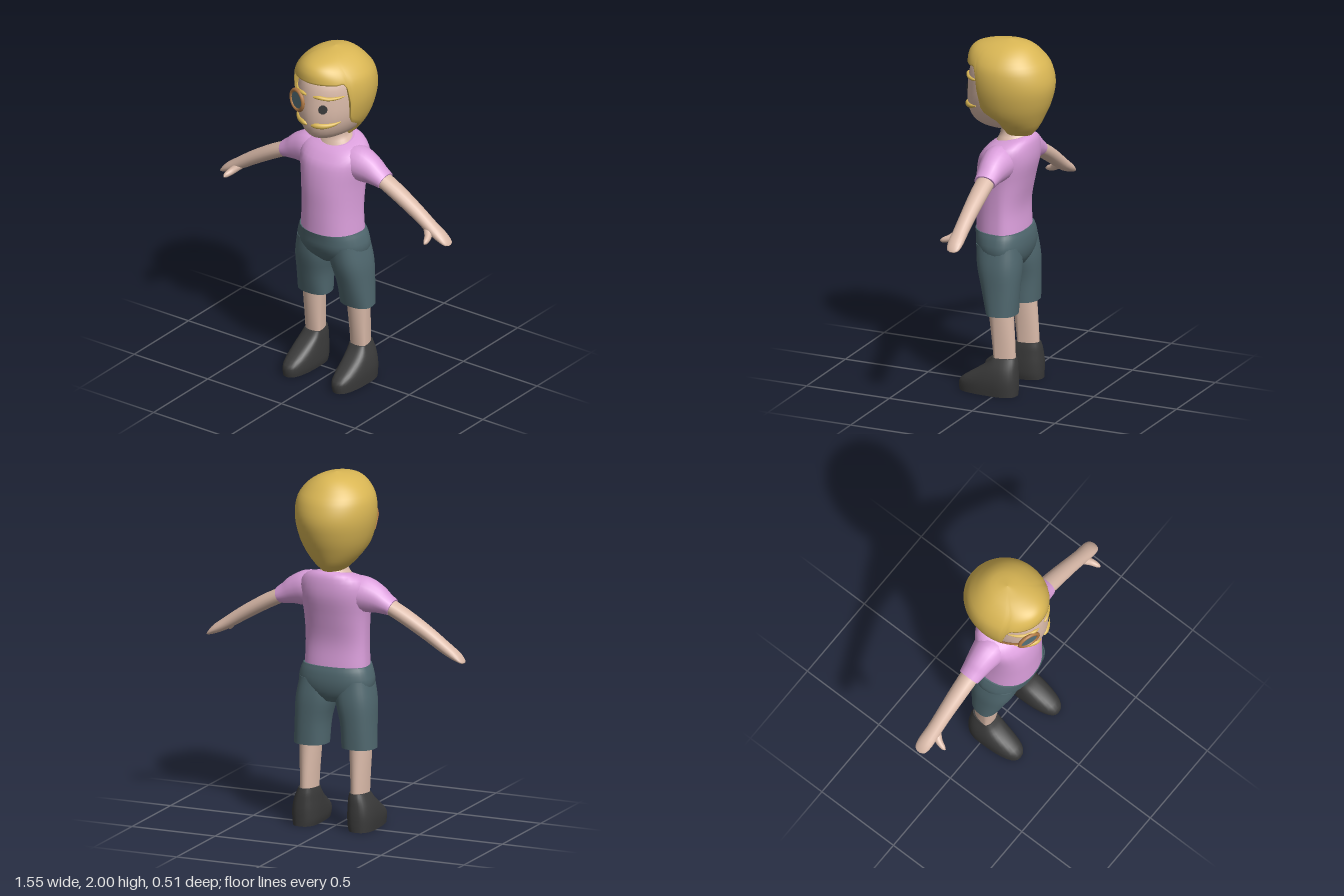
import * as THREE from 'three';

const mat = (name, color, side = THREE.FrontSide) => {
  const m = new THREE.MeshStandardMaterial({ color, side });
  m.name = name;
  return m;
};

// Smooth interpolation of a key table whose first column is the parameter
function at(keys, v) {
  const n = keys.length - 1;
  v = Math.min(Math.max(v, keys[0][0]), keys[n][0]);
  let i = 0;
  while (i < n - 1 && v > keys[i + 1][0]) i++;
  const slope = (k, c) => {
    const a = keys[Math.max(k - 1, 0)], b = keys[Math.min(k + 1, n)];
    return (b[c] - a[c]) / (b[0] - a[0]);
  };
  const p = keys[i], q = keys[i + 1], h = q[0] - p[0], t = (v - p[0]) / h;
  return p.map((_, c) => c === 0 ? v :
    p[c] * (1 + 2 * t) * (1 - t) ** 2 + q[c] * t * t * (3 - 2 * t) +
    h * (slope(i, c) * t * (1 - t) ** 2 - slope(i + 1, c) * t * t * (1 - t)));
}

// Skin closed rings of points into a surface, with optional flat end caps
function skin(rows, caps = true) {
  const n = rows[0].length, pos = [], idx = [];
  const add = (row) => row.forEach((p) => pos.push(p.x, p.y, p.z));
  rows.forEach(add);
  for (let i = 0; i < rows.length - 1; i++) {
    for (let j = 0; j < n; j++) {
      const a = i * n + j, b = i * n + (j + 1) % n;
      idx.push(a, b, b + n, a, b + n, a + n);
    }
  }
  if (caps) [rows[0], rows[rows.length - 1]].forEach((row, end) => {
    const base = pos.length / 3, c = new THREE.Vector3();
    add(row);
    row.forEach((p) => c.addScaledVector(p, 1 / n));
    add([c]);
    for (let j = 0; j < n; j++) {
      const a = base + j, b = base + (j + 1) % n;
      if (end) idx.push(a, b, base + n); else idx.push(b, a, base + n);
    }
  });
  const g = new THREE.BufferGeometry();
  g.setAttribute('position', new THREE.Float32BufferAttribute(pos, 3));
  g.setIndex(idx);
  g.computeVertexNormals();
  return g;
}

const angles = (n) => Array.from({ length: n }, (_, j) => j / n * Math.PI * 2);
const power = (v, e) => Math.sign(v) * Math.abs(v) ** e;

// Upright body from keys [y, centreX, halfWidth, front, back, tilt]
function upright(keys, s = 1, boxy = 1, steps = 16) {
  const lo = keys[0][0], hi = keys[keys.length - 1][0], rows = [];
  for (let i = 0; i <= steps; i++) {
    const [y, cx, w, f, b, tilt] = at(keys, lo + (hi - lo) * (1 - Math.cos(Math.PI * i / steps)) / 2);
    rows.push(angles(32).map((a) => {
      const c = power(Math.cos(a), boxy), z = c * (c > 0 ? f : b);
      return new THREE.Vector3(cx * s + w * power(Math.sin(a), boxy), y + tilt * z, z);
    }));
  }
  return skin(rows);
}

// Tapered tube from keys [x, y, z, radius, radius along ref]
function limb(points, s = 1, ref = new THREE.Vector3(0, 0, 1), steps = 14) {
  const keys = points.map(([x, ...rest], i) => [i, x * s, ...rest]);
  const last = keys.length - 1, rows = [];
  const place = (t) => new THREE.Vector3(...at(keys, t).slice(1, 4));
  for (let i = 0; i <= steps; i++) {
    const t = i / steps * last, k = at(keys, t), c = place(t);
    const d = place(t + 0.02).sub(place(t - 0.02)).normalize();
    const v = ref.clone().addScaledVector(d, -ref.dot(d)).normalize();
    const u = d.clone().cross(v);
    rows.push(angles(18).map((a) => c.clone()
      .addScaledVector(u, k[4] * Math.sin(a)).addScaledVector(v, k[5] * Math.cos(a))));
  }
  return skin(rows);
}

const headKeys = [
  [1.488, 0, 0.04, 0.13, 0.03, 0], [1.508, 0, 0.1, 0.188, 0.08, 0], [1.55, 0, 0.142, 0.228, 0.12, 0],
  [1.62, 0, 0.174, 0.247, 0.15, 0], [1.72, 0, 0.186, 0.247, 0.17, 0],
  [1.85, 0, 0.175, 0.222, 0.17, 0], [1.93, 0, 0.12, 0.15, 0.12, 0]];
const faceZ = (x, y) => {
  const k = at(headKeys, y);
  return k[3] * Math.sqrt(Math.max(0, 1 - (x / k[2]) ** 2));
};

// Hair: a shell falling from the crown to a hairline that depends on the angle
function hairGeometry() {
  const shell = [ // y, half width, front, back
    [1.46, 0.065, 0.05, 0.125], [1.5, 0.112, 0.12, 0.16], [1.57, 0.165, 0.2, 0.196],
    [1.65, 0.2, 0.235, 0.23], [1.76, 0.222, 0.24, 0.251], [1.86, 0.212, 0.243, 0.225],
    [1.92, 0.174, 0.234, 0.178], [1.96, 0.125, 0.195, 0.135], [1.985, 0.072, 0.11, 0.085], [2, 0, 0, 0]];
  const line = [ // degrees from the front, hairline height
    [0, 1.862], [42, 1.86], [55, 1.85], [60, 1.74], [64, 1.635], [75, 1.595],
    [90, 1.555], [98, 1.475], [120, 1.46], [180, 1.46]];
  const cols = angles(96), rows = [];
  const point = (a, t, k) => {
    const deg = Math.abs(THREE.MathUtils.radToDeg(a > Math.PI ? a - 2 * Math.PI : a));
    const low = at(line, deg)[1];
    const [y, w, f, b] = at(shell, low + (2 - low) * Math.sin(t * Math.PI / 2));
    const c = Math.cos(a);
    return new THREE.Vector3(w * Math.sin(a) * k, y + (1 - k) * 0.05, c * (c > 0 ? f : b) * k);
  };
  for (const k of [0.6, 0.85, 0.97]) rows.push(cols.map((a) => point(a, 0, k)));
  for (let i = 0; i <= 24; i++) rows.push(cols.map((a) => point(a, i / 24, 1)));
  return skin(rows, false);
}

export function createModel() {
  const model = new THREE.Group();
  model.name = 'person';
  const skinTone = mat('skin', 0xdabaa9);
  const blond = mat('blond hair', 0xd9b654, THREE.DoubleSide);
  const pink = mat('pink shirt', 0xdb9fdc);
  const slate = mat('slate cloth', 0x4f676e);
  const black = mat('dark leather', 0x3a3a3a);
  const copper = mat('copper', 0xb27a45);
  const glass = mat('lens', 0x557079);
  const add = (name, geometry, material) => {
    const m = new THREE.Mesh(geometry, material);
    m.name = name;
    model.add(m);
    return m;
  };

  // Head and torso
  add('head', upright(headKeys, 1, 1, 24), skinTone);
  add('hair', hairGeometry(), blond);
  add('neck', upright([
    [1.4, 0, 0.1, 0.08, 0.1, -0.2], [1.435, 0, 0.09, 0.076, 0.1, -0.22],
    [1.46, 0, 0.071, 0.056, 0.085, -0.1], [1.56, 0, 0.068, 0.05, 0.08, 0]]), skinTone);
  add('shirt', upright([
    [0.905, 0, 0.183, 0.186, 0.095, 0], [1.05, 0, 0.178, 0.187, 0.09, 0], [1.2, 0, 0.184, 0.185, 0.12, 0],
    [1.32, 0, 0.2, 0.165, 0.148, 0], [1.38, 0, 0.196, 0.135, 0.148, -0.1],
    [1.42, 0, 0.155, 0.105, 0.135, -0.2], [1.435, 0, 0.1, 0.077, 0.11, -0.22]], 1, 0.9, 24), pink);
  add('shortsWaist', upright([
    [0.715, 0, 0.06, 0.1, 0.08, 0], [0.76, 0, 0.185, 0.142, 0.105, 0], [0.82, 0, 0.215, 0.172, 0.118, 0],
    [0.88, 0, 0.205, 0.182, 0.115, 0], [0.915, 0, 0.19, 0.188, 0.105, 0]], 1, 0.88), slate);

  for (const s of [1, -1]) {
    const side = s > 0 ? 'left' : 'right';
    // Arms
    add(side + 'Sleeve', limb([
      [0.07, 1.33, 0, 0.085, 0.1], [0.16, 1.325, 0, 0.1, 0.095], [0.235, 1.307, 0, 0.085, 0.08],
      [0.29, 1.285, 0, 0.063, 0.069], [0.338, 1.266, 0, 0.047, 0.062]], s), pink);
    add(side + 'Arm', limb([
      [0.3, 1.281, 0, 0.042, 0.054], [0.42, 1.22, 0, 0.042, 0.051], [0.55, 1.143, 0, 0.039, 0.045],
      [0.65, 1.077, 0, 0.034, 0.043], [0.72, 1.035, -0.002, 0.026, 0.044],
      [0.76, 1.008, -0.004, 0.012, 0.034], [0.773, 1, -0.004, 0.003, 0.012]], s), skinTone);
    add(side + 'Thumb', limb([
      [0.635, 1.075, 0.01, 0.026, 0.022], [0.665, 1.045, 0.05, 0.021, 0.02],
      [0.678, 1.03, 0.09, 0.014, 0.015], [0.68, 1.025, 0.108, 0.004, 0.005]], s,
      new THREE.Vector3(0, 1, 0)), skinTone);
    // Legs
    add(side + 'ShortsLeg', upright([
      [0.46, 0.143, 0.098, 0.066, 0.102, 0], [0.6, 0.136, 0.099, 0.102, 0.108, 0],
      [0.72, 0.119, 0.11, 0.135, 0.112, 0], [0.84, 0.105, 0.1, 0.15, 0.1, 0]], s, 0.85), slate);
    add(side + 'Leg', upright([
      [0.17, 0.153, 0.048, 0.02, 0.1, 0], [0.3, 0.152, 0.053, 0.036, 0.095, 0],
      [0.5, 0.15, 0.064, 0.062, 0.08, 0]], s), skinTone);
    add(side + 'Shoe', upright([
      [0, 0.168, 0.07, 0.226, 0.115, 0], [0.03, 0.166, 0.075, 0.23, 0.117, 0],
      [0.065, 0.166, 0.077, 0.222, 0.118, 0], [0.1, 0.165, 0.076, 0.175, 0.118, 0],
      [0.145, 0.162, 0.07, 0.105, 0.115, 0], [0.18, 0.157, 0.062, 0.058, 0.112, 0],
      [0.212, 0.153, 0.052, 0.03, 0.105, 0]], s, 0.8), black);
    // Brows and moustache follow the face
    const onFace = (pts) => limb(pts.map(([x, y, r, d]) => [x, y, faceZ(x, y), r, d]), s);
    add(side + 'Brow', onFace([[0.024, 1.783, 0.005, 0.006], [0.055, 1.784, 0.011, 0.012],
      [0.1, 1.777, 0.01, 0.012], [0.135, 1.779, 0.008, 0.01], [0.157, 1.783, 0.003, 0.004]]), blond);
    add(side + 'Moustache', onFace([[0.014, 1.607, 0.005, 0.006], [0.04, 1.611, 0.015, 0.014],
      [0.08, 1.611, 0.016, 0.015], [0.115, 1.617, 0.011, 0.012], [0.143, 1.629, 0.003, 0.004]]), blond);
  }

  // Eye, laid on the face
  const eye = new THREE.CircleGeometry(0.024, 10).scale(0.92, 1.15, 1).translate(0.08, 1.716, 0);
  const p = eye.attributes.position;
  for (let i = 0; i < p.count; i++) p.setZ(i, faceZ(p.getX(i), p.getY(i)) + 0.005);
  eye.computeVertexNormals();
  add('leftEye', eye, black);

  // Monocle with its cord
  const monocle = new THREE.Group();
  monocle.name = 'monocle';
  const rim = add('monocleRim', new THREE.TorusGeometry(0.058, 0.011, 10, 28), copper);
  const lens = add('monocleLens', new THREE.CylinderGeometry(0.056, 0.056, 0.008, 28).rotateX(Math.PI / 2), glass);
  monocle.add(rim, lens);
  monocle.position.set(-0.095, 1.725, 0.226);
  monocle.rotation.y = -0.36;
  model.add(monocle);
  const cord = new THREE.CatmullRomCurve3([
    new THREE.Vector3(-0.15, 1.735, 0.2), new THREE.Vector3(-0.172, 1.71, 0.155),
    new THREE.Vector3(-0.188, 1.67, 0.09)]);
  add('monocleCord', new THREE.TubeGeometry(cord, 12, 0.006, 8), copper);
  return model;
}
